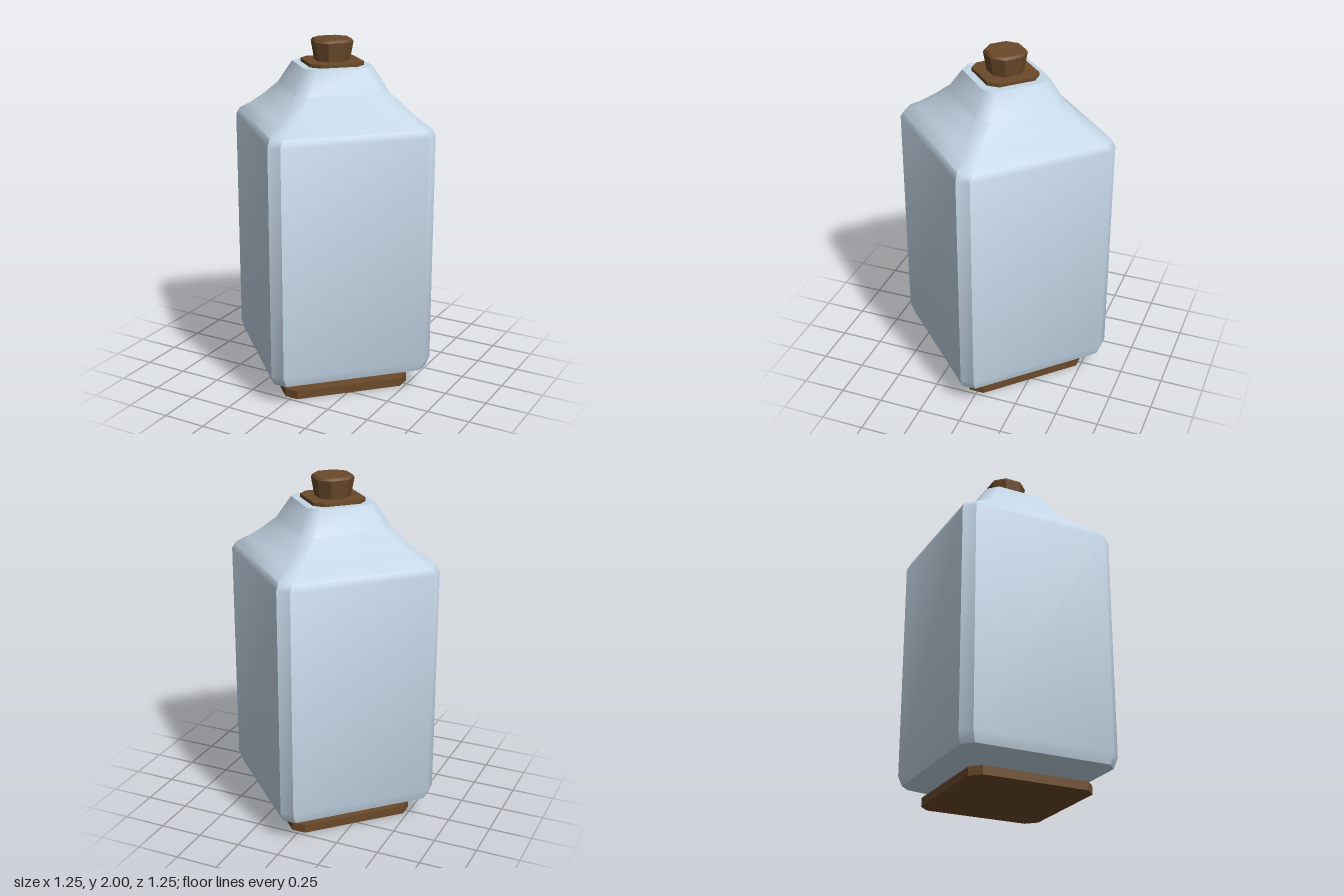
import * as THREE from 'three';
import { toCreasedNormals } from 'three/addons/utils/BufferGeometryUtils.js';

// Diamond cross-section with cut corners: r = reach along the axes, c = half width of the cut
function section(r, c) {
  return [[r, -c], [r, c], [c, r], [-c, r], [-r, c], [-r, -c], [-c, -r], [c, -r]];
}

// Loft through rows of [y, r, c], listed from bottom to top, closed at both ends
function loft(rows, crease) {
  const pos = [], idx = [], n = 8, last = rows.length - 1;
  for (const [y, r, c] of rows) {
    for (const [x, z] of section(r, c)) pos.push(x, y, z);
  }
  for (let i = 0; i < last; i++) {
    for (let j = 0; j < n; j++) {
      const a = i * n + j, b = i * n + (j + 1) % n;
      idx.push(a, a + n, b, b, a + n, b + n);
    }
  }
  for (let j = 1; j < n - 1; j++) {
    idx.push(0, j, j + 1); // bottom cap
    idx.push(last * n, last * n + j + 1, last * n + j); // top cap
  }
  const geo = new THREE.BufferGeometry();
  geo.setAttribute('position', new THREE.Float32BufferAttribute(pos, 3));
  geo.setIndex(idx);
  return toCreasedNormals(geo, crease);
}

export function createModel() {
  const group = new THREE.Group();
  const glass = new THREE.MeshStandardMaterial({ color: 0xc4d6e6 });
  const wood = new THREE.MeshStandardMaterial({ color: 0x6b4a2a });

  function part(name, material, rows, crease = 0.7) {
    const mesh = new THREE.Mesh(loft(rows, crease), material);
    mesh.name = name;
    group.add(mesh);
  }

  // Square container with bevelled rims and a concave shoulder
  part('body', glass, [
    [0.07, 0.40, 0.04],
    [0.13, 0.60, 0.04],
    [0.19, 0.625, 0.04],
    [1.51, 0.625, 0.04],
    [1.55, 0.60, 0.04],
    [1.59, 0.525, 0.04],
    [1.65, 0.435, 0.04],
    [1.73, 0.333, 0.04],
    [1.86, 0.237, 0.04],
  ]);

  // Foot plate and the short post that joins it to the container
  part('base', wood, [[0, 0.478, 0.04], [0.05, 0.478, 0.04]]);
  part('basePost', wood, [[0.045, 0.2, 0.04], [0.075, 0.2, 0.04]]);

  // Collar around the mouth
  part('collar', wood, [[1.855, 0.183, 0.035], [1.88, 0.183, 0.035]]);

  // Tapered stopper with a small bevel on top
  part('stopper', wood, [
    [1.86, 0.092, 0.034],
    [1.985, 0.114, 0.04],
    [2.0, 0.104, 0.037],
  ]);

  return group;
}
